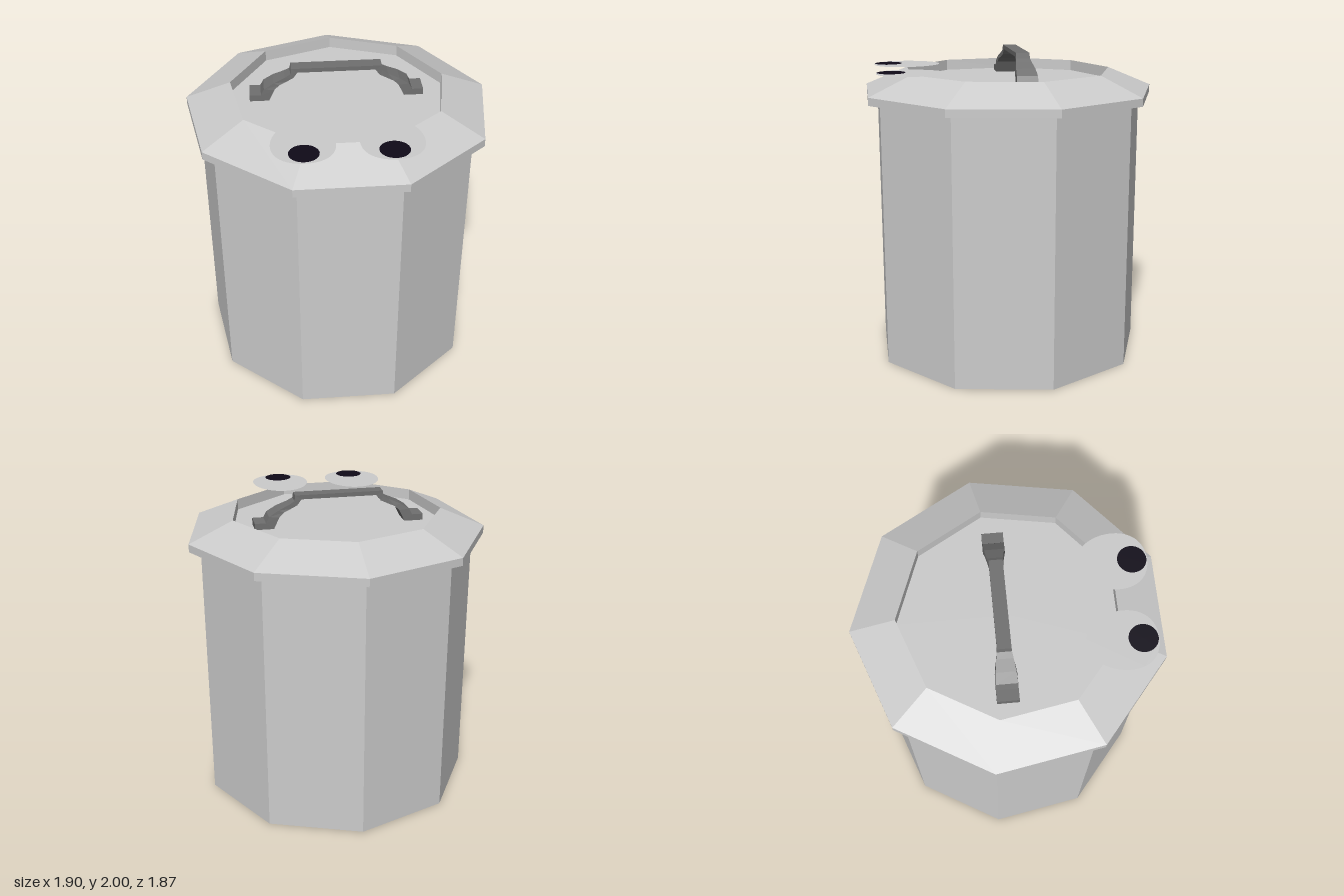
import * as THREE from 'three';

const grey = new THREE.MeshStandardMaterial({ color: 0xcccccc, flatShading: true });
const eyeGrey = new THREE.MeshStandardMaterial({ color: 0xcccccc, side: THREE.DoubleSide });
const dark = new THREE.MeshStandardMaterial({ color: 0x707070, flatShading: true });
const black = new THREE.MeshStandardMaterial({ color: 0x0f0a18, side: THREE.DoubleSide });

// Nine-sided solid of revolution with one corner pointing backwards
function nonagon(name, profile) {
  const points = profile.map(([r, y]) => new THREE.Vector2(r, y));
  const mesh = new THREE.Mesh(new THREE.LatheGeometry(points, 9, Math.PI), grey);
  mesh.name = name;
  mesh.position.z = 0.029;
  return mesh;
}

// Sweeps four-cornered sections along x: [outer x, outer y, inner x, inner y, half width]
function handleGeometry() {
  const half = [
    [0.28, 2.0, 0.24, 1.973, 0.042],
    [0.285, 1.965, 0.268, 1.937, 0.044],
    [0.32, 1.945, 0.31, 1.918, 0.05],
    [0.39, 1.915, 0.355, 1.9, 0.06],
    [0.45, 1.878, 0.385, 1.873, 0.065],
    [0.47, 1.84, 0.42, 1.8, 0.066],
    [0.54, 1.84, 0.54, 1.8, 0.066],
  ];
  const mirrored = half.map(([a, b, c, d, w]) => [-a, b, -c, d, w]).reverse();
  const sections = [...mirrored, ...half];
  const positions = [];
  const index = [];
  sections.forEach(([ox, oy, ix, iy, w]) =>
    positions.push(ox, oy, w, ox, oy, -w, ix, iy, -w, ix, iy, w));
  for (let i = 0; i < sections.length - 1; i++) {
    for (let j = 0; j < 4; j++) {
      const a = i * 4 + j, b = i * 4 + (j + 1) % 4;
      index.push(a, a + 4, b, b, a + 4, b + 4);
    }
  }
  // End caps
  const e = (sections.length - 1) * 4;
  index.push(0, 1, 2, 0, 2, 3, e, e + 2, e + 1, e, e + 3, e + 2);
  const geometry = new THREE.BufferGeometry();
  geometry.setAttribute('position', new THREE.Float32BufferAttribute(positions, 3));
  geometry.setIndex(index);
  geometry.computeVertexNormals();
  return geometry;
}

// Flat egg outline, narrower towards the back
function eggShape() {
  const shape = new THREE.Shape();
  shape.moveTo(0, 0.24);
  shape.bezierCurveTo(0.1, 0.24, 0.186, 0.13, 0.186, 0);
  shape.bezierCurveTo(0.186, -0.12, 0.11, -0.19, 0, -0.19);
  shape.bezierCurveTo(-0.11, -0.19, -0.186, -0.12, -0.186, 0);
  shape.bezierCurveTo(-0.186, 0.13, -0.1, 0.24, 0, 0.24);
  return shape;
}

export function createModel() {
  const model = new THREE.Group();
  model.name = 'trashCan';

  // Bin body and overhanging lid with a sunken top
  model.add(nonagon('body', [[0, 0], [0.888, 0], [0.888, 1.7]]));
  model.add(nonagon('lid', [
    [0, 1.7], [0.963, 1.7], [0.963, 1.75], [0.677, 1.87], [0.677, 1.8], [0, 1.8],
  ]));

  // Carrying handle with flared feet
  const handle = new THREE.Mesh(handleGeometry(), dark);
  handle.name = 'handle';
  handle.position.set(-0.008, 0, -0.029);
  model.add(handle);

  // Flat eyes lying just above the lid
  for (const [side, label] of [[1, 'left'], [-1, 'right']]) {
    const eye = new THREE.Mesh(new THREE.ShapeGeometry(eggShape(), 12), eyeGrey);
    eye.name = label + 'Eye';
    eye.rotation.x = -Math.PI / 2;
    eye.position.set(side * 0.254, 1.885, 0.69);
    const pupil = new THREE.Mesh(new THREE.CircleGeometry(0.088, 32), black);
    pupil.name = label + 'Pupil';
    pupil.rotation.x = -Math.PI / 2;
    pupil.position.set(side * 0.254, 1.891, 0.787);
    model.add(eye, pupil);
  }
  return model;
}
